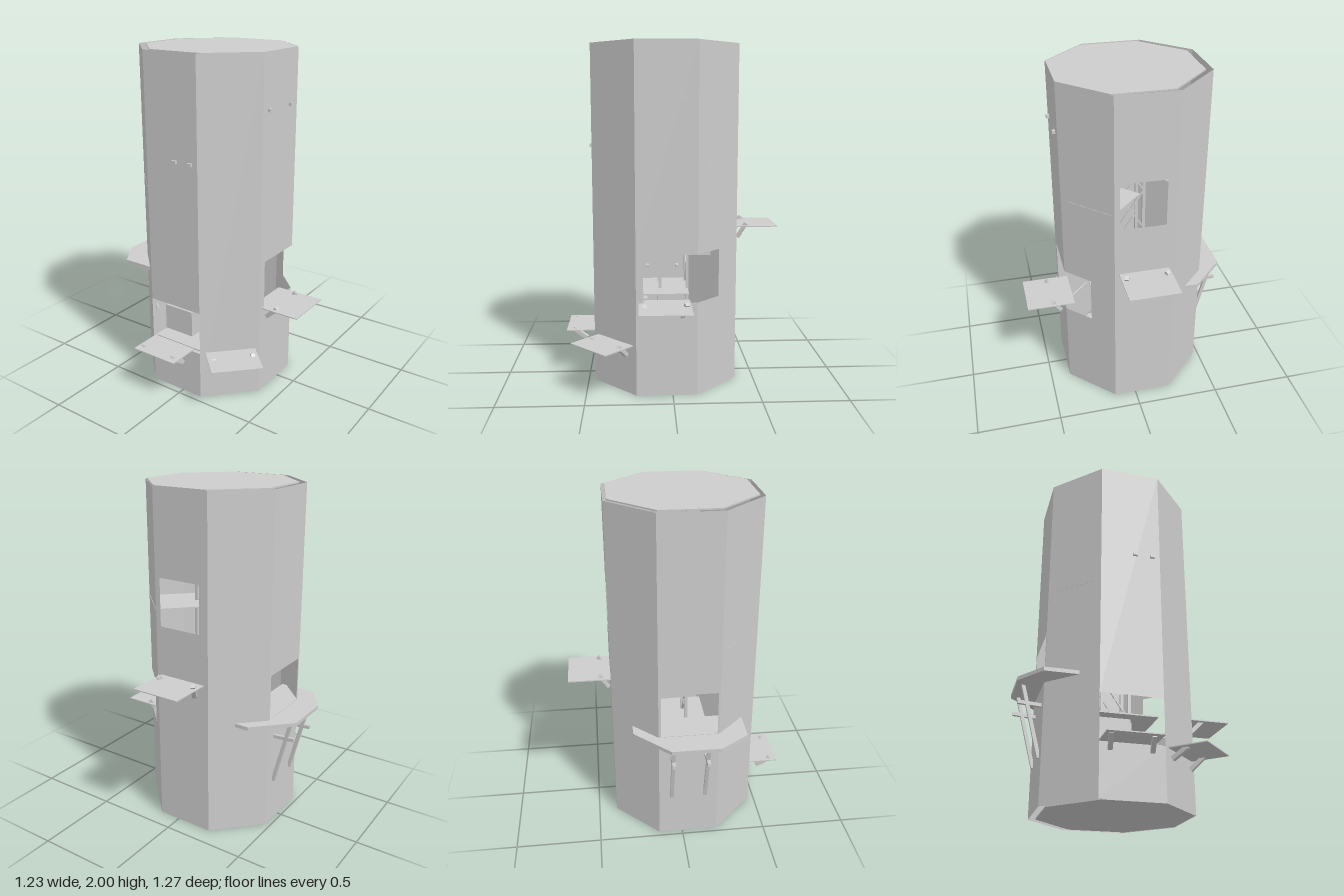
import * as THREE from 'three';

export function createModel() {
  const model = new THREE.Group();
  const grey = new THREE.MeshStandardMaterial({ color: 0xcccccc, side: THREE.DoubleSide });
  grey.name = 'light grey';

  const add = (geometry, name, parent = model) => {
    const mesh = new THREE.Mesh(geometry, grey);
    mesh.name = name;
    parent.add(mesh);
    return mesh;
  };
  const box = (name, w, h, d, x, y, z, parent) => {
    const mesh = add(new THREE.BoxGeometry(w, h, d), name, parent);
    mesh.position.set(x, y, z);
    return mesh;
  };
  // square bar between two points
  const beam = (name, a, b, size, parent) => {
    const from = new THREE.Vector3(...a), to = new THREE.Vector3(...b);
    const mesh = add(new THREE.BoxGeometry(size, size, from.distanceTo(to)), name, parent);
    mesh.position.copy(from).lerp(to, 0.5);
    mesh.lookAt(to);
    return mesh;
  };
  // horizontal slab from an outline of [x, z] points
  const slab = (name, outline, y, thickness) => {
    const shape = new THREE.Shape(outline.map(([x, z]) => new THREE.Vector2(x, -z)));
    const geometry = new THREE.ExtrudeGeometry(shape, { depth: thickness, bevelEnabled: false });
    const mesh = add(geometry.rotateX(-Math.PI / 2), name);
    mesh.position.y = y;
    return mesh;
  };

  // octagonal shell; each wall may have an opening [u0, u1, y0, y1]
  const corners = [[-0.22, 0.46], [0.13, 0.46], [0.38, 0.21], [0.38, -0.14],
    [0.13, -0.39], [-0.22, -0.39], [-0.47, -0.14], [-0.47, 0.21]];
  const openings = {
    0: [0, 1, 0.29, 0.55],
    2: [0.12, 1, 0.55, 0.83],
    3: [0, 0.53, 0.55, 0.83],
    4: [0.09, 0.84, 1.23, 1.51],
    6: [0.04, 0.97, 0.70, 0.97],
  };
  const shell = new THREE.Group();
  shell.name = 'shell';
  model.add(shell);
  corners.forEach((a, i) => {
    const b = corners[(i + 1) % 8];
    const panel = (u0, u1, y0, y1) => {
      if (u1 - u0 < 0.001) return;
      const length = Math.hypot(b[0] - a[0], b[1] - a[1]);
      const mesh = add(new THREE.PlaneGeometry((u1 - u0) * length, y1 - y0), 'wallPanel', shell);
      const u = (u0 + u1) / 2;
      mesh.position.set(a[0] + (b[0] - a[0]) * u, (y0 + y1) / 2, a[1] + (b[1] - a[1]) * u);
      mesh.rotation.y = Math.atan2(a[1] - b[1], b[0] - a[0]);
    };
    const hole = openings[i];
    if (!hole) return panel(0, 1, 0, 2);
    const [u0, u1, y0, y1] = hole;
    panel(0, 1, 0, y0);
    panel(0, 1, y1, 2);
    panel(0, u0, y0, y1);
    panel(u1, 1, y0, y1);
  });

  // end caps, set off-centre so a gap remains along some walls
  const cap = [[-0.195, 0.435], [0.14, 0.435], [0.378, 0.20], [0.378, -0.13],
    [0.14, -0.37], [-0.195, -0.37], [-0.43, -0.13], [-0.43, 0.195]];
  slab('topCap', cap, 1.994, 0.008);
  slab('bottomCap', cap, 0.002, 0.008);

  // landing platforms with two sloping struts; local +z points outwards
  const platform = (name, x, y, z, angle, inner, outer, strutStart) => {
    const group = new THREE.Group();
    group.name = name;
    group.position.set(x, y, z);
    group.rotation.y = angle;
    model.add(group);
    box('plate', 0.295, 0.006, outer - inner, 0, 0, (inner + outer) / 2, group);
    for (const side of [-0.11, 0.11]) {
      beam('strut', [side, -0.04, strutStart], [side, -0.013, strutStart + 0.1], 0.024, group);
    }
  };
  platform('frontPlatform', -0.075, 0.292, 0.46, 0, -0.11, 0.175, 0.045);
  platform('rightPlatform', 0.235 + 0.145, 0.547, 0.047, Math.PI / 2, -0.06, 0.232, 0);
  platform('backPlatform', -0.043, 0.935, -0.39, Math.PI, 0, 0.248, -0.01);
  platform('cornerPlatform', 0.25, 0.292, 0.325, Math.PI / 4, 0, 0.228, 0.01);

  // wide deck on the left wall, propped by long legs and short rails
  slab('sideDeck', [[-0.28, -0.28], [-0.415, -0.28], [-0.615, -0.08],
    [-0.615, 0.20], [-0.50, 0.37], [-0.28, 0.37]], 0.676, 0.022);
  for (const z of [-0.065, 0.135]) {
    beam('deckLeg', [-0.575, 0.68, z], [-0.47, 0.27, z], 0.02);
    beam('deckRail', [-0.60, 0.578, z], [-0.43, 0.565, z], 0.02);
  }

  // small pegs through the walls
  for (const x of [-0.02, 0.083]) box('frontPeg', 0.026, 0.018, 0.03, x, 1.42, 0.46);
  for (const z of [0.157, -0.062]) box('sidePeg', 0.03, 0.018, 0.024, 0.382, 1.698, z);

  // inner frame of posts and crossed braces
  const xs = [-0.11, 0.055], zs = [-0.10, 0.065];
  for (const x of xs) for (const z of zs) box('post', 0.018, 1.98, 0.018, x, 1, z);
  for (let y = 0.3; y < 1.7; y += 0.25) {
    for (const z of zs) {
      beam('brace', [xs[0], y, z], [xs[1], y + 0.25, z], 0.01);
      beam('brace', [xs[1], y, z], [xs[0], y + 0.25, z], 0.01);
    }
  }

  // cabinet and floors inside
  box('cabinet', 0.2, 0.16, 0.2, -0.12, 0.38, 0.24);
  box('cabinetSide', 0.05, 0.16, 0.02, 0.0, 0.38, 0.2);
  box('lowerFloor', 0.33, 0.008, 0.3, -0.045, 0.296, 0.29);
  box('middleFloor', 0.38, 0.008, 0.3, 0.0, 0.545, 0.045);
  const upper = box('upperFloor', 0.29, 0.006, 0.29, 0.138, 1.32, -0.18);
  upper.rotation.y = Math.PI / 4;
  const lower = box('loftFloor', 0.29, 0.008, 0.2, -0.28, 1.23, 0.26);
  lower.rotation.y = -Math.PI / 4;

  return model;
}
